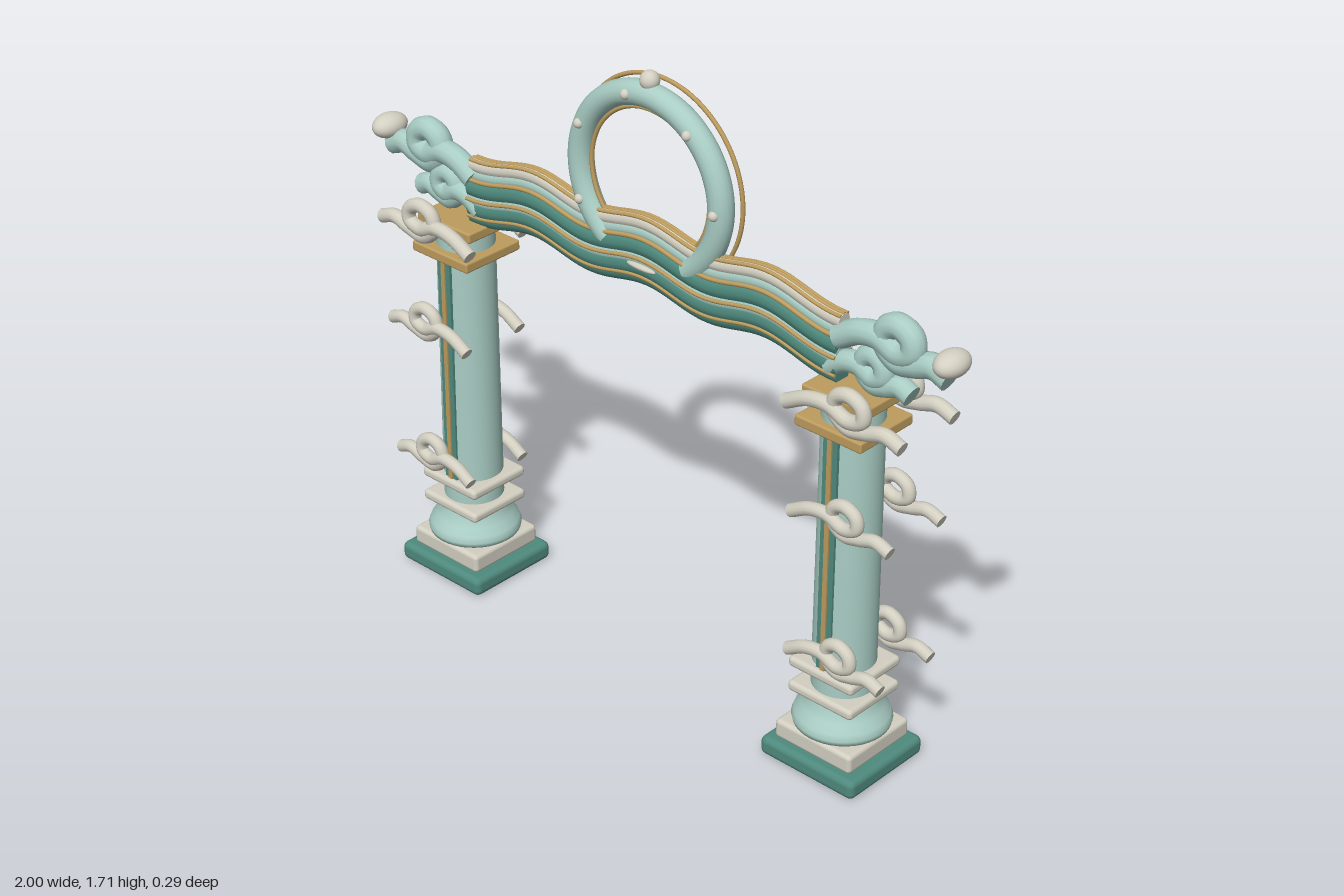
import * as THREE from 'three';
import { RoundedBoxGeometry } from 'three/addons/geometries/RoundedBoxGeometry.js';

const mat = (name, color) => {
  const m = new THREE.MeshStandardMaterial({ color });
  m.name = name;
  return m;
};

export function createModel() {
  const root = new THREE.Group();
  root.name = 'ornamentalArch';
  const light = mat('paleTeal', 0xa9cdc4);
  const dark = mat('deepTeal', 0x4f8a7e);
  const cream = mat('cream', 0xd3d0c2);
  const gold = mat('gold', 0xbd9c5e);

  const add = (parent, name, geo, material, x = 0, y = 0, z = 0) => {
    const m = new THREE.Mesh(geo, material);
    m.name = name;
    m.position.set(x, y, z);
    parent.add(m);
    return m;
  };
  const group = (name) => {
    const g = new THREE.Group();
    g.name = name;
    root.add(g);
    return g;
  };
  const slab = (parent, name, w, h, d, material, x, y, r = 0.012) =>
    add(parent, name, new RoundedBoxGeometry(w, h, d, 3, r), material, x, y, 0);

  // Round tube through points, closed by flat discs at both ends
  const cappedTube = (parent, name, pts, r, material, segs = 90) => {
    const curve = new THREE.CatmullRomCurve3(pts);
    add(parent, name, new THREE.TubeGeometry(curve, segs, r, 12), material);
    for (const t of [0, 1]) {
      const p = curve.getPointAt(t);
      const dir = curve.getTangentAt(t).multiplyScalar(t ? 1 : -1);
      const cap = add(parent, name + 'End', new THREE.CircleGeometry(r, 12), material, p.x, p.y, p.z);
      cap.quaternion.setFromUnitVectors(new THREE.Vector3(0, 0, 1), dir);
    }
  };

  // Looping scroll: outer tail, one full curl, inner tail
  const LOOP = [
    [0.145, -0.03], [0.1, -0.015], [0.05, -0.028], [0, -0.035], [-0.038, -0.005],
    [-0.03, 0.033], [0.005, 0.047], [0.04, 0.03], [0.043, 0], [0.005, -0.014],
    [-0.05, 0.006], [-0.105, 0], [-0.165, -0.03],
  ];
  const scroll = (parent, name, side, cx, cy, z, sx, sy, r, material) =>
    cappedTube(parent, name, LOOP.map(([x, y], i) => new THREE.Vector3(
      side * (cx + x * sx), cy + y * sy, z + 0.006 * (i / 6 - 1))), r, material, 110);

  // Pillars, mirrored left and right
  const PX = 0.675;
  for (const s of [-1, 1]) {
    const x = s * PX;
    const p = group(s > 0 ? 'leftPillar' : 'rightPillar');
    slab(p, 'plinth', 0.31, 0.055, 0.29, dark, x, 0.0275, 0.018);
    slab(p, 'plinthStep', 0.25, 0.055, 0.24, cream, x, 0.0825);
    const foot = [[0.11, 0.108], [0.128, 0.115], [0.131, 0.128], [0.125, 0.145], [0.108, 0.165],
      [0.097, 0.185], [0.092, 0.205]].map(([r, y]) => new THREE.Vector2(r, y));
    add(p, 'footMoulding', new THREE.LatheGeometry(foot, 40), light, x);
    for (const y of [0.215, 0.29]) slab(p, 'collar', 0.21, 0.03, 0.2, cream, x, y);
    add(p, 'shaft', new THREE.CylinderGeometry(0.08, 0.084, 0.87, 40), light, x, 0.635);
    slab(p, 'capital', 0.21, 0.03, 0.2, gold, x, 1.0, 0.006);
    slab(p, 'capitalTop', 0.2, 0.03, 0.165, gold, x, 1.08, 0.006);
    // Inlaid strips on the front and back of the shaft
    for (const f of [-1, 1]) {
      add(p, 'shaftInlay', new THREE.BoxGeometry(0.045, 0.71, 0.009), dark, x, 0.63, f * 0.081);
      add(p, 'shaftTrim', new THREE.BoxGeometry(0.014, 0.7, 0.008), gold, x, 0.635, f * 0.086);
      scroll(p, 'lowerScroll', s, 0.73, 0.365, f * 0.1, 0.94, 1, 0.018, cream);
      scroll(p, 'middleScroll', s, 0.735, 0.775, f * 0.1, 0.98, 1, 0.018, cream);
      scroll(p, 'upperScroll', s, 0.735, 1.08, f * 0.1, 1.13, 1.1, 0.02, cream);
    }

    // Corner ornament at the end of the beam
    const c = group(s > 0 ? 'leftCorner' : 'rightCorner');
    scroll(c, 'bigScroll', s, 0.8, 1.25, 0, 1.05, 1.15, 0.033, light);
    scroll(c, 'smallScroll', s, 0.73, 1.155, 0, 0.78, 0.95, 0.029, light);
    add(c, 'finial', new THREE.SphereGeometry(1, 24, 16), cream, s * 0.96, 1.265)
      .scale.set(0.04, 0.034, 0.055);
  }

  // Wavy beam made of stacked rails
  const beam = group('beam');
  const HALF = 0.635;
  const wave = (x) => 0.015 * Math.cos(x * Math.PI * 5);
  const rail = (name, y, z, r, material) => {
    const pts = [];
    for (let i = 0; i <= 32; i++) {
      const x = -HALF + (2 * HALF * i) / 32;
      pts.push(new THREE.Vector3(x, y + wave(x) - 0.012 * Math.pow(Math.abs(x) / HALF, 6), z));
    }
    cappedTube(beam, name, pts, r, material, 80);
  };
  rail('topRail', 1.28, 0, 0.021, cream);
  rail('upperCore', 1.255, 0, 0.022, light);
  rail('upperRail', 1.218, 0, 0.033, dark);
  rail('middleRail', 1.185, 0, 0.031, light);
  rail('lowerRail', 1.16, 0, 0.033, dark);
  rail('bottomRail', 1.134, 0, 0.026, dark);
  rail('topTrim', 1.3, 0, 0.005, gold);
  for (const f of [-1, 1]) {
    rail('crestTrim', 1.297, f * 0.013, 0.005, gold);
    rail('upperTrim', 1.244, f * 0.023, 0.006, gold);
    rail('middleTrim', 1.19, f * 0.031, 0.005, gold);
    rail('lowerTrim', 1.14, f * 0.028, 0.005, gold);
  }
  add(beam, 'centreBead', new THREE.SphereGeometry(1, 16, 10), cream, 0, 1.185, 0.032)
    .scale.set(0.05, 0.008, 0.01);

  // Ring standing on the beam
  const ring = group('ring');
  const CY = 1.41;
  const arc = THREE.MathUtils.degToRad(290);
  add(ring, 'ringBody', new THREE.TorusGeometry(0.238, 0.034, 16, 80, arc), light, 0, CY)
    .rotation.z = Math.PI / 2 - arc / 2;
  add(ring, 'outerTrim', new THREE.TorusGeometry(0.274, 0.006, 8, 96), gold, 0, CY, -0.04);
  add(ring, 'innerTrim', new THREE.TorusGeometry(0.2, 0.006, 8, 80), gold, 0, CY, 0);
  add(ring, 'crownBead', new THREE.SphereGeometry(0.026, 20, 14), cream, 0, 1.688);
  for (const deg of [0, 51, 103, 154, 206]) {
    const a = THREE.MathUtils.degToRad(deg);
    add(ring, 'ringBead', new THREE.SphereGeometry(0.014, 14, 10), cream,
      0.24 * Math.cos(a), CY + 0.24 * Math.sin(a), 0.03);
  }
  return root;
}
